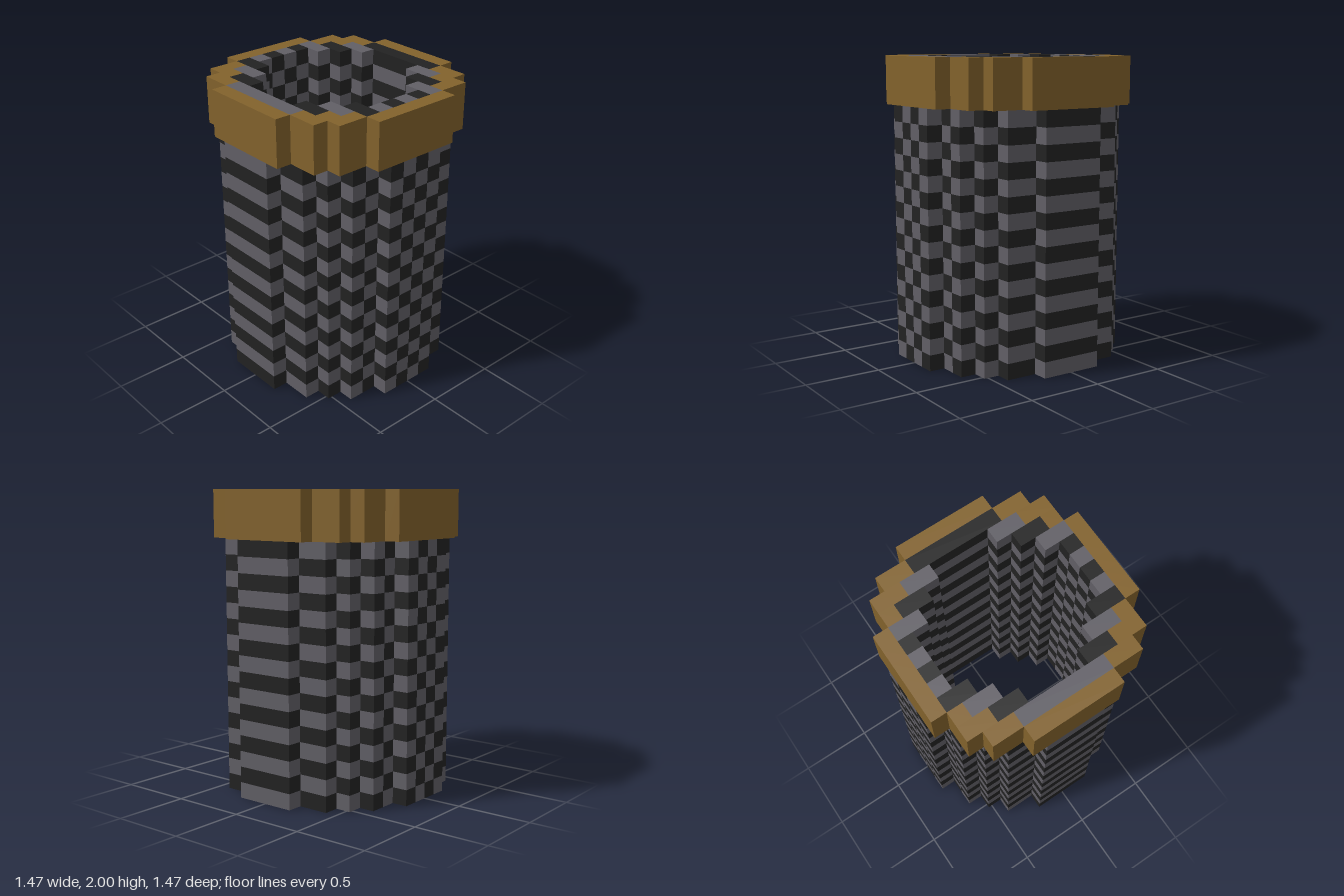
import * as THREE from 'three';
import { mergeGeometries } from 'three/addons/utils/BufferGeometryUtils.js';

const U = 2 / 19;        // one block
const BODY_TOP = 16;     // rows below the rim
const TOP = 19;          // total rows

// [inner, outer] depth of each one-block column, counted outward from x = 0
const TUBE = [[5, 7], [5, 7], [4, 6], [3, 6], [2, 5], [0, 4], [0, 2]];
const LINING = [[5, 6], [5, 6], [4, 6], [3, 5], [2, 4], [0, 3], null];
const RIM = [[6, 7], [6, 7], [6, 7], [5, 6], [4, 6], [3, 5], [0, 3]];

function block(x, y0, y1, z0, z1) {
  const g = new THREE.BoxGeometry(U, (y1 - y0) * U, (z1 - z0) * U);
  return g.translate((x + 0.5) * U, (y0 + y1) / 2 * U, (z0 + z1) / 2 * U);
}

// Blocks of one column: front and back halves, or a single block when solid
function column(x, y0, y1, profile) {
  const span = profile[x >= 0 ? x : -x - 1];
  if (!span) return [];
  const [inner, outer] = span;
  if (inner === 0) return [block(x, y0, y1, -outer, outer)];
  return [block(x, y0, y1, inner, outer), block(x, y0, y1, -outer, -inner)];
}

export function createModel() {
  const model = new THREE.Group();
  const black = new THREE.MeshStandardMaterial({ color: 0x222222 });
  const grey = new THREE.MeshStandardMaterial({ color: 0x615f66 });
  const brown = new THREE.MeshStandardMaterial({ color: 0x82622c });
  black.name = 'black';
  grey.name = 'grey';
  brown.name = 'brown';

  const add = (name, blocks, material) => {
    const mesh = new THREE.Mesh(mergeGeometries(blocks), material);
    mesh.name = name;
    model.add(mesh);
  };

  // Chequered tube and the lining that continues it inside the rim
  const checker = (name, y0, y1, profile) => {
    const sets = [[], []];
    for (let y = y0; y < y1; y++)
      for (let x = -7; x < 7; x++)
        sets[(x + 7 + y) % 2].push(...column(x, y, y + 1, profile));
    add(name + 'BlackBlocks', sets[0], black);
    add(name + 'GreyBlocks', sets[1], grey);
  };
  checker('tube', 0, BODY_TOP, TUBE);
  checker('lining', BODY_TOP, TOP, LINING);

  // Stepped rim
  const rim = [];
  for (let x = -7; x < 7; x++) rim.push(...column(x, BODY_TOP, TOP, RIM));
  add('rim', rim, brown);

  return model;
}
